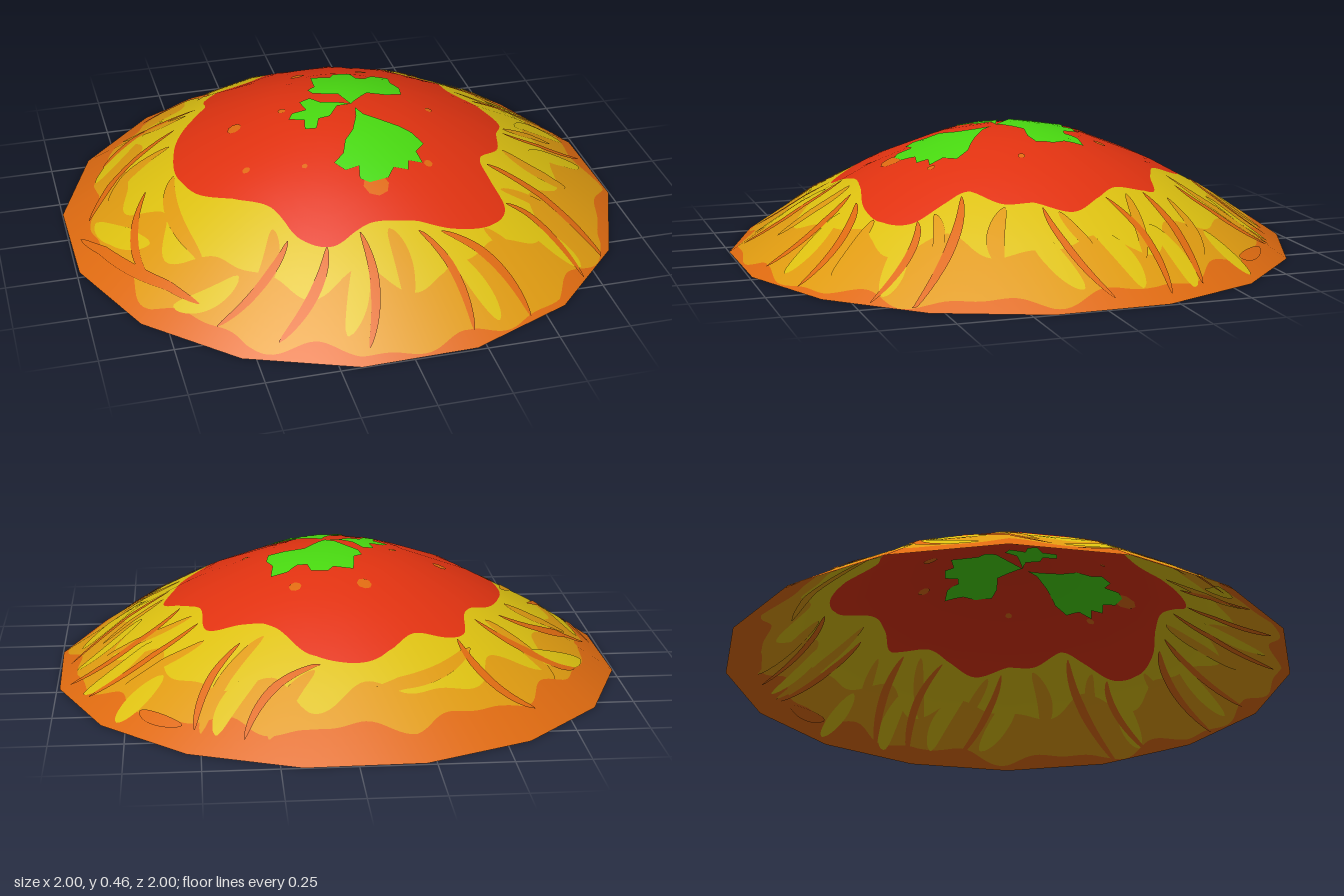
import * as THREE from 'three';
import { mergeGeometries } from 'three/addons/utils/BufferGeometryUtils.js';

const R = 1.014, SIDES = 16, STEP = (Math.PI * 2) / SIDES, TURN = THREE.MathUtils.degToRad(12.4);
const HEIGHTS = [0.455, 0.41, 0.31, 0.17, 0];   // dome height at five even rings
const SLOPES = [0, 0.29, 0.48, 0.62, 0.68];     // smooth slope at the same rings

const mat = (name, color) => {
  const m = new THREE.MeshStandardMaterial({ color, side: THREE.DoubleSide });
  m.name = name;
  return m;
};

// Piecewise-linear lookup, t from 0 at the peak to 1 at the rim
function ringValue(list, t) {
  const k = Math.min(Math.max(t, 0), 1) * 4, i = Math.min(Math.floor(k), 3);
  return list[i] + (list[i + 1] - list[i]) * (k - i);
}
// Radius of the sixteen-sided rim in a given direction
function rimRadius(a) {
  const d = ((a - TURN) % STEP + STEP) % STEP - STEP / 2;
  return R * Math.cos(STEP / 2) / Math.cos(d);
}

// Drapes a grid of plan points over the dome; each lift makes one layer
function drape(plan, nu, nv, lifts = [0]) {
  const pos = [], nor = [], idx = [];
  for (const lift of lifts) {
    const base = pos.length / 3;
    for (let i = 0; i <= nu; i++) for (let j = 0; j <= nv; j++) {
      let [x, z] = plan(i / nu, j / nv);
      const r = Math.hypot(x, z), rim = rimRadius(Math.atan2(x, z));
      const k = r > rim * 0.995 && lift ? rim * 0.995 / r : 1;
      x *= k; z *= k;
      const t = r * k / rim, s = ringValue(SLOPES, t) / Math.max(r * k, 1e-5);
      pos.push(x, Math.max(0, ringValue(HEIGHTS, t) + lift), z);
      const n = new THREE.Vector3(x * s, 1, z * s).normalize();
      nor.push(n.x, n.y, n.z);
      if (i < nu && j < nv) {
        const a = base + i * (nv + 1) + j, b = a + nv + 1;
        idx.push(a, b, b + 1, a, b + 1, a + 1);
      }
    }
  }
  const g = new THREE.BufferGeometry();
  g.setAttribute('position', new THREE.Float32BufferAttribute(pos, 3));
  g.setAttribute('normal', new THREE.Float32BufferAttribute(nor, 3));
  g.setIndex(idx);
  return g;
}

// Ring-shaped zone of the dome between two outlines given by angle
const zone = (inner, outer, rings) => drape((u, v) => {
  const a = TURN + v * Math.PI * 2, r = inner(a) + (outer(a) - inner(a)) * u;
  return [Math.sin(a) * r, Math.cos(a) * r];
}, rings, 320);

// Tapered strand along a bent line: start, bend, end, half width
function strand([x0, z0, x1, z1, x2, z2, w], lift) {
  const c = new THREE.QuadraticBezierCurve(
    new THREE.Vector2(x0, z0), new THREE.Vector2(x1, z1), new THREE.Vector2(x2, z2));
  return drape((u, v) => {
    const p = c.getPoint(v), t = c.getTangent(v);
    const o = (u * 2 - 1) * w * Math.sqrt(Math.sin(Math.PI * v) + 0.01);
    return [p.x - t.y * o, p.y + t.x * o];
  }, 4, 20, [lift, -lift]);
}

// Filled patch fanned from the middle of a clockwise outline
function patch(points, lift) {
  const pts = points.slice().reverse(), n = pts.length;
  const cx = pts.reduce((s, p) => s + p[0], 0) / n, cz = pts.reduce((s, p) => s + p[1], 0) / n;
  return drape((u, v) => {
    const k = v * n, i = Math.floor(k) % n, f = k - Math.floor(k), p = pts[i], q = pts[(i + 1) % n];
    return [cx + (p[0] + (q[0] - p[0]) * f - cx) * u, cz + (p[1] + (q[1] - p[1]) * f - cz) * u];
  }, 5, n * 2, [lift, -lift]);
}

const SAUCE = [[0, -.65], [.13, -.61], [.24, -.47], [.35, -.41], [.47, -.37], [.49, -.22], [.57, -.12],
  [.62, -.02], [.57, .1], [.54, .2], [.44, .3], [.45, .38], [.47, .5], [.4, .58], [.25, .605], [.1, .58],
  [-.03, .57], [-.18, .62], [-.28, .56], [-.35, .41], [-.47, .31], [-.57, .2], [-.61, .05], [-.58, -.12],
  [-.53, -.22], [-.43, -.33], [-.41, -.45], [-.35, -.5], [-.23, -.51], [-.14, -.6], [-.08, -.64]];

const LEAVES = [
  [[.03, .06], [0, 0], [-.08, -.06], [-.09, -.1], [-.06, -.12], [-.05, -.22], [.02, -.2], [.04, -.23],
    [.1, -.22], [.11, -.17], [.16, -.16], [.18, -.2], [.24, -.2], [.23, -.13], [.25, -.08], [.24, -.02],
    [.18, -.01], [.11, -.02], [.05, .04]],
  [[.03, .06], [-.02, .06], [-.06, .11], [-.1, .11], [-.12, .16], [-.16, .15], [-.15, .1], [-.2, .07],
    [-.18, .04], [-.13, .04], [-.14, -.02], [-.1, -.03], [-.07, .02], [-.02, .04]],
  [[.04, .08], [.06, .12], [.13, .17], [.21, .22], [.24, .27], [.2, .31], [.21, .36], [.16, .35], [.15, .39],
    [.1, .38], [.07, .42], [0, .43], [-.03, .41], [-.02, .36], [-.07, .37], [-.1, .33], [-.06, .3],
    [-.04, .25], [0, .2], [.03, .13]],
];

const SPECKS = [[.16, -.29, .022], [-.08, -.3, .026], [-.38, -.02, .025], [-.21, 0, .014], [.32, .06, .013],
  [-.39, .23, .014], [.02, .44, .045], [.23, .36, .015], [-.2, .31, .01]];

const YELLOW_STRANDS = [
  [.62, -.5, .72, -.55, .78, -.6, .04], [.66, -.28, .8, -.36, .9, -.34, .035], [.7, -.05, .8, -.15, .93, -.15, .035],
  [.68, .15, .82, .12, .92, .05, .04], [.3, -.65, .42, -.7, .45, -.82, .035], [-.62, -.45, -.74, -.4, -.86, -.25, .04],
  [-.75, .3, -.86, .2, -.9, .02, .035], [-.5, .6, -.6, .65, -.72, .58, .035], [-.1, .66, -.12, .8, -.2, .9, .035],
  [.2, .68, .3, .8, .32, .9, .035], [.52, .55, .65, .6, .7, .66, .04]];

const AMBER_STRANDS = [
  [.28, -.5, .45, -.62, .5, -.8, .025], [.48, -.42, .62, -.46, .75, -.44, .02], [.52, -.25, .66, -.25, .82, -.2, .02],
  [.62, .03, .72, 0, .84, -.05, .02], [.56, .2, .68, .3, .78, .28, .03], [.48, .42, .6, .42, .72, .5, .02],
  [-.5, -.34, -.64, -.4, -.72, -.5, .03], [-.6, -.14, -.74, -.16, -.84, -.05, .03], [-.62, .06, -.7, .2, -.6, .5, .025],
  [-.36, .5, -.38, .65, -.5, .72, .03], [.02, .6, .06, .7, .02, .86, .03], [.36, .6, .45, .68, .5, .78, .025],
  [-.42, -.52, -.3, -.72, 0, -.78, .025], [.12, -.68, .24, -.76, .28, -.88, .03]];

const ORANGE_STRANDS = [
  [.36, -.5, .5, -.6, .52, -.78, .016], [.5, -.32, .66, -.4, .88, -.38, .017], [.56, -.16, .72, -.28, .95, -.24, .016],
  [.6, .08, .78, .08, .96, -.04, .014], [.46, .32, .68, .38, .82, .6, .018], [.48, .48, .62, .5, .7, .7, .015],
  [.2, .62, .4, .68, .44, .88, .018], [.12, .62, .24, .74, .22, .94, .016], [-.08, .6, -.04, .78, -.14, .95, .016],
  [-.2, .62, -.24, .76, -.42, .85, .018], [-.32, .56, -.42, .7, -.6, .72, .016], [-.96, .05, -.86, .35, -.64, .62, .018],
  [-.72, .05, -.84, .25, -.78, .42, .014], [-.56, -.26, -.76, -.24, -.92, -.02, .018], [-.46, -.36, -.7, -.5, -.82, -.35, .018],
  [-.62, -.68, -.44, -.7, -.38, -.5, .02], [.1, -.66, .3, -.68, .36, -.86, .016], [.7, -.6, .66, -.66, .56, -.74, .02]];

export function createModel() {
  const yellow = mat('pastaYellow', 0xdcc010), amber = mat('pastaAmber', 0xde9a10);
  const orange = mat('pastaOrange', 0xde6a10), red = mat('sauceRed', 0xe03210), green = mat('leafGreen', 0x48d810);
  const group = new THREE.Group();
  group.name = 'pastaMound';
  const add = (name, material, ...geometries) => {
    const mesh = new THREE.Mesh(geometries.length > 1 ? mergeGeometries(geometries) : geometries[0], material);
    mesh.name = name;
    group.add(mesh);
  };

  // Sauce edge as a radius by direction, from a closed smooth curve
  const edge = new THREE.CatmullRomCurve3(SAUCE.map(([x, z]) => new THREE.Vector3(x, 0, z)), true)
    .getPoints(400).map(p => [Math.atan2(p.x, p.z), Math.hypot(p.x, p.z)]).sort((a, b) => a[0] - b[0]);
  const sauceEdge = a => {
    const w = Math.atan2(Math.sin(a), Math.cos(a));
    const i = edge.findIndex(e => e[0] >= w);
    if (i <= 0) return edge[0][1];
    const [p, q] = [edge[i - 1], edge[i]];
    return p[1] + (q[1] - p[1]) * (w - p[0]) / Math.max(q[0] - p[0], 1e-6);
  };
  const yellowEdge = a => rimRadius(a) * (0.77 + 0.035 * Math.sin(11 * a) + 0.025 * Math.sin(17 * a + 1));
  const amberEdge = a => rimRadius(a) * (0.925 - 0.05 * Math.cos(a + 2.7)
    + 0.018 * Math.sin(13 * a + 2) + 0.012 * Math.sin(23 * a));

  // The open dome, split into colour zones
  add('sauce', red, zone(() => 0, sauceEdge, 12));
  add('innerPasta', yellow, zone(sauceEdge, yellowEdge, 6));
  add('outerPasta', amber, zone(yellowEdge, amberEdge, 6));
  add('pastaRim', orange, zone(amberEdge, rimRadius, 4));

  // Strands painted over the pasta
  add('yellowStrands', yellow, ...YELLOW_STRANDS.map(s => strand(s, 0.003)));
  add('amberStrands', amber, ...AMBER_STRANDS.map(s => strand(s, 0.0035)));
  add('orangeStrands', orange, ...ORANGE_STRANDS.map(s => strand(s, 0.005)));

  // Specks in the sauce and the herb sprig on top
  const circle = ([x, z, r]) => Array.from({ length: 8 }, (_, i) =>
    [x + r * Math.cos(i * Math.PI / 4), z + r * Math.sin(i * Math.PI / 4)]);
  add('sauceSpecks', orange, ...SPECKS.map(s => patch(circle(s), 0.003)));
  add('herbLeaves', green, ...LEAVES.map(l => patch(l, 0.005)));
  return group;
}
